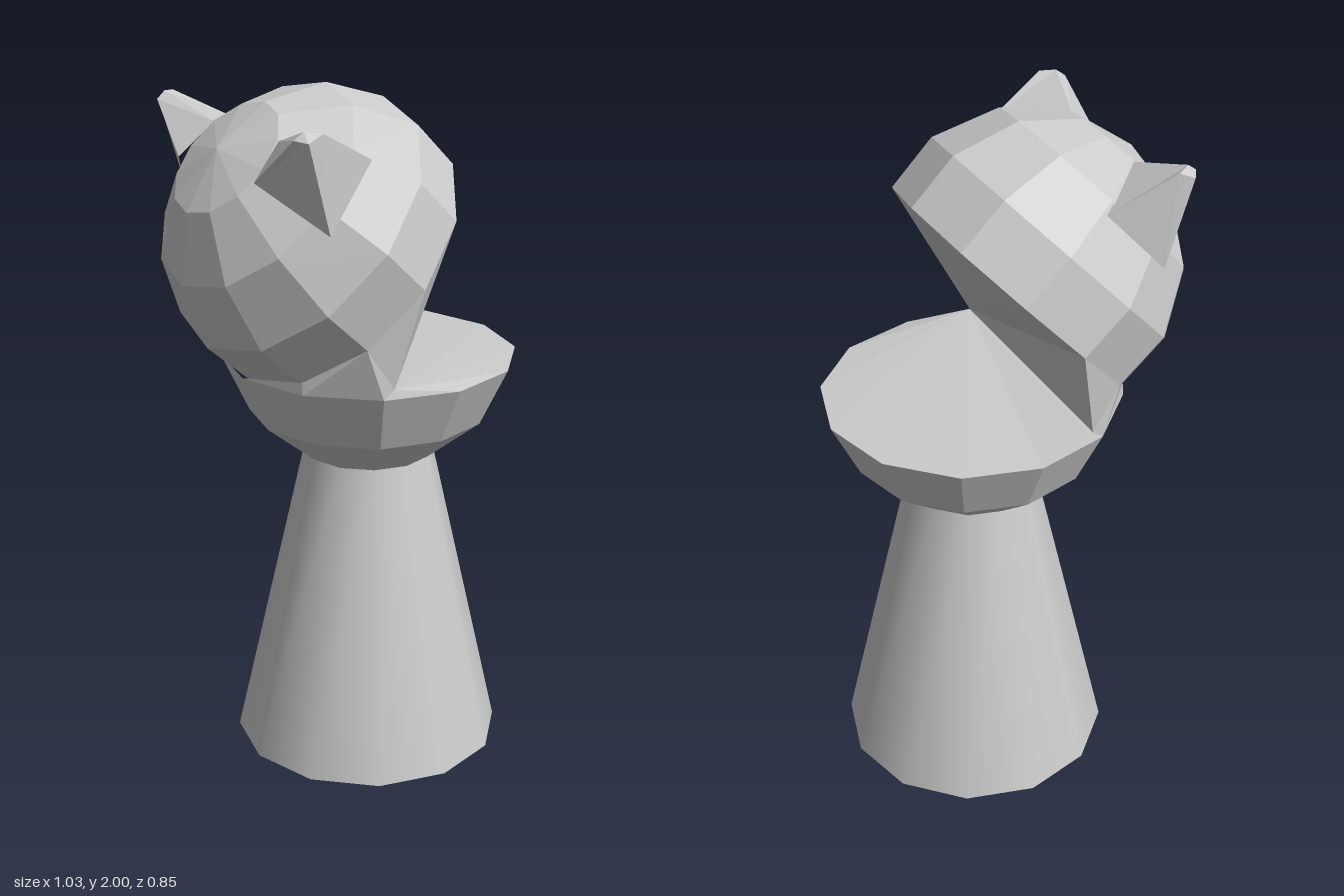
import * as THREE from 'three';

const N = 12;
const V = (x, y, z) => new THREE.Vector3(x, y, z);
const flat = () => new THREE.MeshStandardMaterial({ color: 0xcccccc, flatShading: true });

// Collects triangles, turning each one to face away from an inner point
function facetBuilder() {
  const out = [];
  const tri = (a, b, c, inner) => {
    const n = b.clone().sub(a).cross(c.clone().sub(a));
    if (n.lengthSq() < 1e-12) return;
    const outward = n.dot(a.clone().add(b).add(c).divideScalar(3).sub(inner)) > 0;
    for (const p of outward ? [a, b, c] : [a, c, b]) out.push(p.x, p.y, p.z);
  };
  const quad = (a, b, c, d, inner) => { tri(a, b, c, inner); tri(a, c, d, inner); };
  const fan = (points, inner) => {
    for (let i = 1; i < points.length - 1; i++) tri(points[0], points[i], points[i + 1], inner);
  };
  const loft = (r, s, inner) => r.forEach((p, i) => {
    const j = (i + 1) % r.length;
    quad(p, r[j], s[j], s[i], inner);
  });
  const mesh = (name) => {
    const g = new THREE.BufferGeometry();
    g.setAttribute('position', new THREE.Float32BufferAttribute(out, 3));
    g.computeVertexNormals();
    const m = new THREE.Mesh(g, flat());
    m.name = name;
    return m;
  };
  return { tri, quad, fan, loft, mesh };
}

// Ring of N points around a centre, starting along the direction u
const ring = (centre, u, r) => Array.from({ length: N }, (_, i) => {
  const t = (i / N) * Math.PI * 2;
  return centre.clone().addScaledVector(u, r * Math.cos(t)).add(V(0, 0, r * Math.sin(t)));
});

export function createModel() {
  const model = new THREE.Group();
  const axisX = 0.09;

  // Smooth tapered body with a shallow domed base
  const body = new THREE.Mesh(
    new THREE.CylinderGeometry(0.19, 0.395, 0.91, N),
    new THREE.MeshStandardMaterial({ color: 0xcccccc }));
  body.position.set(axisX, 0.47, 0);
  body.name = 'body';
  const base = new THREE.Mesh(new THREE.ConeGeometry(0.395, 0.015, N, 1, true), flat());
  base.rotation.x = Math.PI;
  base.position.set(axisX, 0.0075, 0);
  base.name = 'base';
  model.add(body, base);

  // Mouth corners
  const cornerL = V(-0.09, 1.245, 0.37), cornerR = V(-0.09, 1.245, -0.37);

  // Lower jaw: faceted bowl with a nearly flat lid
  const jaw = facetBuilder();
  const jawInner = V(axisX, 1.1, 0);
  const jawRings = [[0.925, 0.19], [1.05, 0.345], [1.22, 0.425]]
    .map(([y, r]) => ring(V(axisX, y, 0), V(1, 0, 0), r));
  jaw.fan(jawRings[0], jawInner);
  for (let i = 0; i < 2; i++) jaw.loft(jawRings[i], jawRings[i + 1], jawInner);
  const jawRim = jawRings[2];
  const front = [3, 2, 1, 0, 11, 10, 9];
  jaw.fan([cornerL, ...front.map((i) => jawRim[i]), cornerR], jawInner);
  model.add(jaw.mesh('lowerJaw'));

  // Upper head: faceted dome on an axis tilted back from the mouth
  const head = facetBuilder();
  const u = V(0.683, 0.731, 0).normalize(), axis = V(-u.y, u.x, 0);
  const mouth = V(-0.03, 1.52, 0);
  const headInner = mouth.clone().addScaledVector(axis, 0.15);
  const headRings = [[0, 0.418], [0.17, 0.423], [0.347, 0.336], [0.467, 0.18]]
    .map(([h, r]) => ring(mouth.clone().addScaledVector(axis, h), u, r));
  for (let i = 0; i < 3; i++) head.loft(headRings[i], headRings[i + 1], headInner);
  const crown = mouth.clone().addScaledVector(axis, 0.505);
  headRings[3].forEach((p, i, r) => head.tri(p, r[(i + 1) % N], crown, headInner));
  model.add(head.mesh('head'));

  // Roof of the mouth
  const rim = headRings[0];
  const roof = facetBuilder();
  roof.fan([cornerL, ...front.map((i) => rim[i]), cornerR], V(-0.3, 1.65, 0));
  model.add(roof.mesh('mouthRoof'));

  // Hinge: cheeks and nape joining the head to the jaw
  const hinge = facetBuilder();
  const hingeInner = V(-0.1, 1.3, 0);
  for (const [corner, a, b] of [[cornerL, 3, 4], [cornerR, 9, 8]]) {
    hinge.fan([corner, rim[a], rim[b], jawRim[b], jawRim[a]], hingeInner);
  }
  for (let i = 4; i < 8; i++) hinge.quad(rim[i], rim[i + 1], jawRim[i + 1], jawRim[i], hingeInner);
  model.add(hinge.mesh('hinge'));

  // Ears: four-sided spikes with a small blunt tip
  for (const [name, side] of [['leftEar', 1], ['rightEar', -1]]) {
    const at = ([x, y, z]) => V(x, y, z * side);
    const foot = [[-0.31, 1.9, 0.16], [-0.405, 1.81, 0.19], [-0.29, 1.69, 0.365], [-0.135, 1.86, 0.325]].map(at);
    const tip = [[-0.355, 1.96, 0.345], [-0.382, 1.94, 0.34], [-0.36, 1.935, 0.375], [-0.315, 1.955, 0.37]].map(at);
    const ear = facetBuilder();
    const inner = at([-0.31, 1.87, 0.3]);
    ear.loft(foot, tip, inner);
    ear.fan(tip, inner);
    model.add(ear.mesh(name));
  }
  return model;
}
